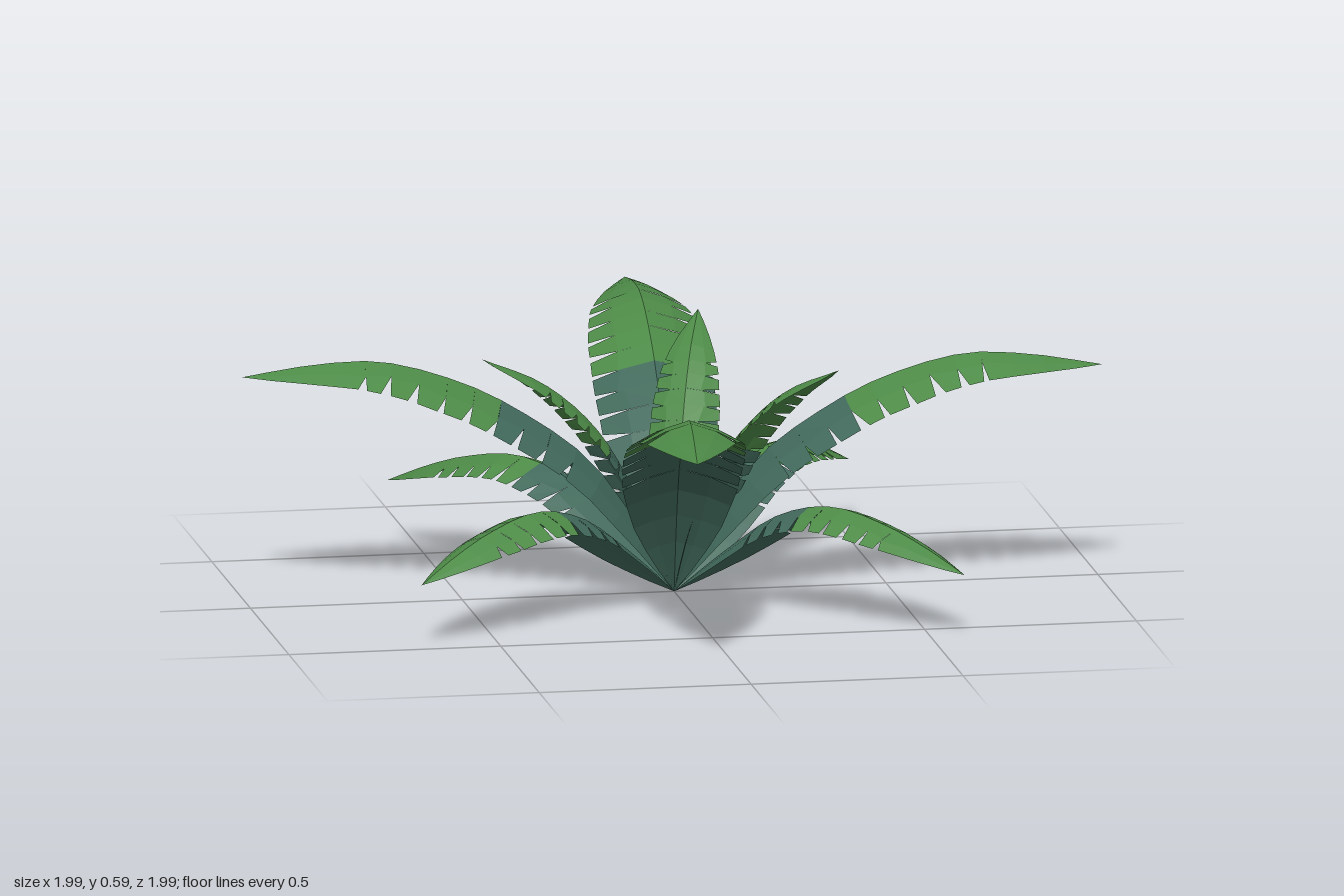
import * as THREE from 'three';

const makeMaterials = () => {
  const mat = (name, color) => {
    const m = new THREE.MeshStandardMaterial({ color, side: THREE.DoubleSide, flatShading: true });
    m.name = name;
    return m;
  };
  return { base: mat('blueGreenBase', 0x41695b), tip: mat('leafGreen', 0x4d8a47) };
};

// Positions along a leaf; the stations between CUT_START and CUT_END carry torn notches
const STATIONS = [0, 0.06, 0.12, 0.19, 0.26, 0.33, 0.39, 0.445, 0.5, 0.555, 0.61, 0.665, 0.72, 0.77, 0.83, 0.89, 0.95, 1];
const CUT_START = 0.32, CUT_END = 0.78, SPLIT = 0.5;

// Half width along the leaf, as a fraction of the widest half width
const WIDTH = [[0, 0], [0.08, 0.36], [0.17, 0.68], [0.3, 0.93], [0.48, 1], [0.62, 0.97], [0.75, 0.83], [0.86, 0.56], [0.94, 0.27], [1, 0]];
function widthAt(t) {
  for (let i = 1; i < WIDTH.length; i++) {
    const [t0, w0] = WIDTH[i - 1], [t1, w1] = WIDTH[i];
    if (t <= t1) return w0 + (w1 - w0) * (t - t0) / (t1 - t0);
  }
  return 0;
}

// Midrib paths as [outward distance, height], scaled so that the tip lies at distance 1
const KINDS = {
  large: { half: 0.142, path: [[0, 0], [0.09, 0.17], [0.2, 0.32], [0.34, 0.425], [0.48, 0.5], [0.68, 0.557], [0.85, 0.55], [1, 0.525]] },
  low: { half: 0.1, path: [[0, 0], [0.18, 0.12], [0.36, 0.222], [0.54, 0.262], [0.73, 0.238], [0.88, 0.195], [1, 0.15]] },
  upright: { half: 0.082, path: [[0, 0], [0.18, 0.22], [0.4, 0.4], [0.68, 0.52], [1, 0.59]] },
};

// Pointed leaf folded along its midrib, reaching along +z
function makeLeaf(name, kind, tipX, tipZ, seed, materials) {
  const { half, path } = KINDS[kind];
  const reach = Math.hypot(tipX, tipZ);
  const curve = new THREE.CatmullRomCurve3(path.map(([r, y]) => new THREE.Vector3(0, y, r * reach)));
  let state = seed * 7919 + 17;
  const random = () => (state = (state * 16807) % 2147483647) / 2147483647;

  // f runs from 0 at the midrib to 1 at the margin
  const point = (t, side, f) => {
    const p = curve.getPointAt(t), d = curve.getTangentAt(t);
    const w = half * widthAt(t);
    const droop = w * (0.22 * f + 0.2 * f * f);
    return new THREE.Vector3(side * f * w, p.y - droop * d.z, p.z + droop * d.y);
  };

  const positions = { base: [], tip: [] };
  for (const side of [-1, 1]) {
    let cut = 0, depth = 0.55;
    for (let i = 0; i < STATIONS.length - 1; i++) {
      const t0 = STATIONS[i], t1 = STATIONS[i + 1];
      const out = positions[t0 < SPLIT ? 'base' : 'tip'];
      const quad = (a, b, c, d) => {
        const order = side > 0 ? [a, d, c, a, c, b] : [a, b, c, a, c, d];
        for (const v of order) out.push(v.x, v.y, v.z);
      };
      // each lobe starts with a narrow wedge missing from its margin
      const notched = t0 > CUT_START && t0 < CUT_END;
      cut = notched ? 0.01 + 0.012 * random() : 0;
      depth = notched ? 0.42 + 0.25 * random() : 0.55;
      const m0 = point(t0, side, depth), m1 = point(t1, side, 0.55);
      quad(point(t0, side, 0), m0, m1, point(t1, side, 0));
      quad(m0, point(t0 + cut, side, 1), point(t1, side, 1), m1);
    }
  }

  const leaf = new THREE.Group();
  leaf.name = name;
  for (const part of ['base', 'tip']) {
    const geometry = new THREE.BufferGeometry();
    geometry.setAttribute('position', new THREE.Float32BufferAttribute(positions[part], 3));
    geometry.computeVertexNormals();
    const mesh = new THREE.Mesh(geometry, materials[part]);
    mesh.name = part === 'base' ? 'leafBase' : 'leafTip';
    leaf.add(mesh);
  }
  leaf.rotation.y = Math.atan2(tipX, tipZ);
  return leaf;
}

export function createModel() {
  const plant = new THREE.Group();
  plant.name = 'leafyPlant';
  const materials = makeMaterials();

  // Tip positions in plan
  const leaves = {
    large: [[0.065, -1], [0.99, 0.11], [-0.125, 0.99], [-1, -0.11]],
    low: [[0.53, -0.65], [0.575, 0.61], [-0.685, 0.49], [-0.565, -0.62]],
    upright: [[-0.47, 0.085], [0.325, 0.35], [0.12, -0.35]],
  };
  let seed = 1;
  for (const [kind, tips] of Object.entries(leaves)) {
    tips.forEach(([x, z], i) => plant.add(makeLeaf(`${kind}Leaf${i + 1}`, kind, x, z, seed++, materials)));
  }
  return plant;
}
